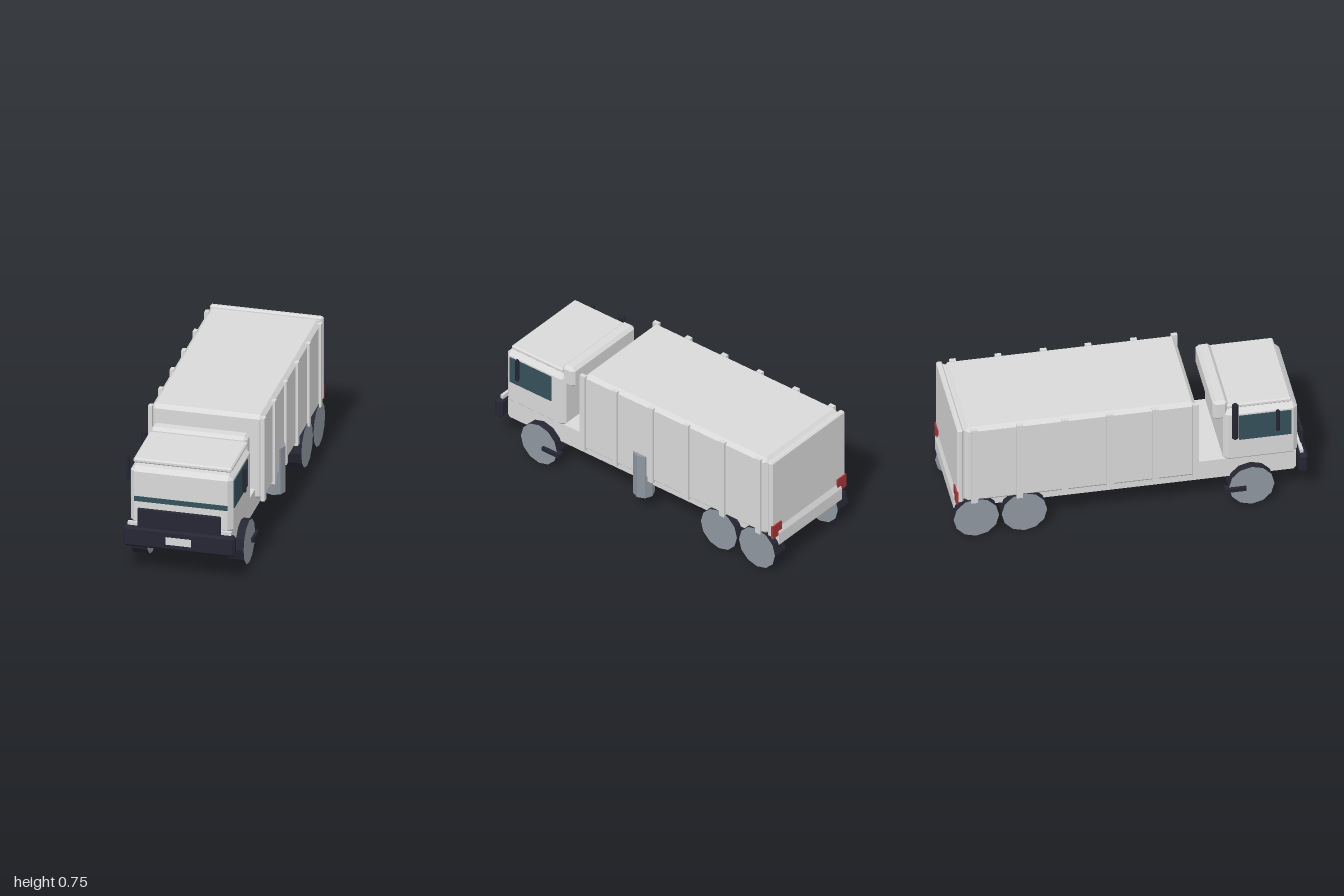
import * as THREE from 'three';
import { ConvexGeometry } from 'three/addons/geometries/ConvexGeometry.js';

function material(name, color) {
  const m = new THREE.MeshStandardMaterial({ color });
  m.name = name;
  return m;
}

export function createModel() {
  const truck = new THREE.Group();
  truck.name = 'truck';
  const white = material('body white', 0xd9d9d9);
  const dark = material('trim dark', 0x262634);
  const glass = material('window glass', 0x35505a);
  const grey = material('metal grey', 0x8e969f);
  const red = material('lamp red', 0xa83434);

  function add(name, geometry, mat, x = 0, y = 0, z = 0) {
    const mesh = new THREE.Mesh(geometry, mat);
    mesh.name = name;
    mesh.position.set(x, y, z);
    truck.add(mesh);
    return mesh;
  }

  // Box given by its limits on each axis
  function box(name, mat, [x0, x1], [y0, y1], [z0, z1]) {
    return add(name, new THREE.BoxGeometry(x1 - x0, y1 - y0, z1 - z0), mat,
      (x0 + x1) / 2, (y0 + y1) / 2, (z0 + z1) / 2);
  }

  // Same, with every edge chamfered by c
  function chamferBox(name, mat, [x0, x1], [y0, y1], [z0, z1], c) {
    const h = [(x1 - x0) / 2, (y1 - y0) / 2, (z1 - z0) / 2];
    const points = [];
    for (const sx of [-1, 1]) for (const sy of [-1, 1]) for (const sz of [-1, 1]) {
      for (let axis = 0; axis < 3; axis++) {
        const p = h.map((v, i) => (i === axis ? v : v - c));
        points.push(new THREE.Vector3(sx * p[0], sy * p[1], sz * p[2]));
      }
    }
    return add(name, new ConvexGeometry(points), mat, (x0 + x1) / 2, (y0 + y1) / 2, (z0 + z1) / 2);
  }

  // Vertical rod with tapered ends
  function rod(name, mat, r, y0, y1, x, z) {
    const profile = [[0, y0], [r * 0.6, y0], [r, y0 + 0.008], [r, y1 - 0.008], [r * 0.6, y1], [0, y1]];
    const g = new THREE.LatheGeometry(profile.map(p => new THREE.Vector2(...p)), 8);
    return add(name, g, mat, x, 0, z);
  }

  // Chassis: side profile (z, y) extruded across the width
  const side = new THREE.Shape([
    [-0.99, 0.175], [0.92, 0.175], [0.935, 0.19], [0.935, 0.298], [-0.97, 0.298], [-0.99, 0.25],
  ].map(p => new THREE.Vector2(...p)));
  const chassis = new THREE.ExtrudeGeometry(side, { depth: 0.55, bevelEnabled: false });
  chassis.translate(0, 0, -0.275);
  chassis.rotateY(-Math.PI / 2);
  add('chassis', chassis, white);

  // Cab
  chamferBox('cab', white, [-0.292, 0.292], [0.285, 0.635], [0.525, 0.942], 0.026);
  chamferBox('roofVisor', white, [-0.28, 0.28], [0.645, 0.673], [0.545, 0.908], 0.008);
  chamferBox('rearRoofBox', white, [-0.275, 0.275], [0.57, 0.697], [0.47, 0.555], 0.018);
  box('frontGlass', glass, [-0.265, 0.265], [0.43, 0.46], [0.938, 0.945]);

  // Front end
  chamferBox('bumper', dark, [-0.32, 0.32], [0.172, 0.294], [0.945, 0.997], 0.014);
  chamferBox('grille', dark, [-0.237, 0.237], [0.25, 0.406], [0.968, 0.985], 0.006);
  box('lampBar', white, [-0.295, 0.295], [0.235, 0.315], [0.955, 0.972]);
  box('numberPlate', white, [-0.073, 0.073], [0.21, 0.255], [0.995, 1.0]);

  // Cargo box and tail panel
  chamferBox('cargoBox', white, [-0.32, 0.32], [0.232, 0.746], [-0.935, 0.365], 0.022);
  chamferBox('tailPanel', white, [-0.322, 0.322], [0.24, 0.745], [-0.976, -0.942], 0.008);
  box('tailJoint', white, [-0.305, 0.305], [0.255, 0.73], [-0.945, -0.93]);

  const ribZ = [0.362, 0.135, -0.12, -0.372, -0.627, -0.882];
  for (const s of [-1, 1]) {
    const span = (a, b) => (s > 0 ? [a, b] : [-b, -a]);

    // Cargo ribs
    for (const z of ribZ) {
      box('cargoRib', white, span(0.31, 0.333), [0.235, 0.74], [z - 0.018, z + 0.018]);
    }

    // Side windows, mirrors and rear lamps
    box('sideWindow', glass, span(0.289, 0.297), [0.435, 0.6], [0.612, 0.905]);
    rod('mirror', dark, 0.0115, 0.498, 0.642, s * 0.333, 0.822);
    box('rearLamp', red, span(0.245, 0.323), [0.235, 0.318], [-0.984, -0.972]);

    // Wheels: dark tread, grey side faces
    for (const z of [0.677, -0.6, -0.87]) {
      const g = new THREE.CylinderGeometry(0.128, 0.128, 0.092, 12).toNonIndexed();
      g.computeVertexNormals();
      g.rotateZ(Math.PI / 2);
      g.clearGroups();
      const treadCount = 12 * 6;
      g.addGroup(0, treadCount, 0);
      g.addGroup(treadCount, g.attributes.position.count - treadCount, 1);
      const wheel = add('wheel', g, [dark, grey], s * 0.276, 0.128, z);
      // Turn so that a corner rests on the ground
      wheel.rotation.x = 0;
    }

    // Step beside the front wheel
    box('step', dark, span(0.3, 0.338), [0.106, 0.131], [0.525, 0.645]);
  }

  // Exhaust stack behind the right window, tank on the left side
  rod('exhaustStack', dark, 0.019, 0.45, 0.69, -0.3, 0.588);
  const tank = new THREE.CylinderGeometry(0.061, 0.061, 0.28, 8).toNonIndexed();
  tank.computeVertexNormals();
  add('tank', tank, grey, 0.284, 0.245, -0.037);

  return truck;
}
